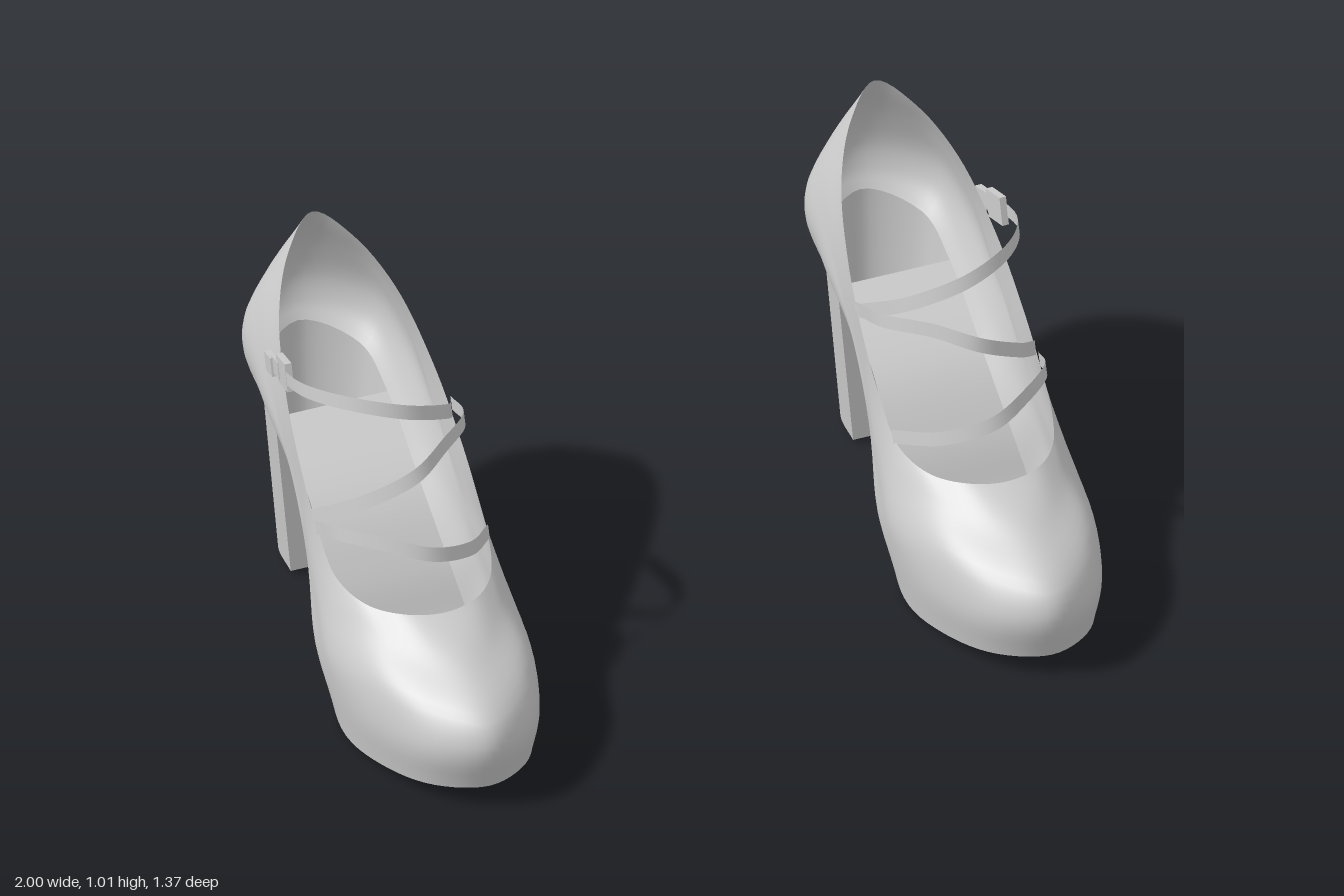
import * as THREE from 'three';

const V = (p) => new THREE.Vector3(...p);
const N = 108, HEEL = 42; // samples round the shoe, and the sample where the heel starts
const mat = new THREE.MeshStandardMaterial({ color: 0xcccccc, side: THREE.DoubleSide });

// Half outlines [x, y, z], from the toe centre along the side to the heel centre
const levels = [
  // sole edge
  [[0, .06, .655], [.12, .05, .59], [.2, .025, .43], [.225, 0, .22], [.2, .06, .07],
   [.165, .23, -.04], [.145, .38, -.18], [.15, .5, -.42], [.13, .56, -.56], [0, .605, -.645]],
  // platform top
  [[0, .18, .685], [.13, .17, .61], [.215, .15, .44], [.245, .13, .22], [.235, .16, .07],
   [.205, .3, -.04], [.18, .45, -.19], [.18, .56, -.42], [.165, .62, -.58], [0, .65, -.668]],
  // widest line
  [[0, .25, .655], [.115, .255, .57], [.2, .26, .42], [.25, .22, .2], [.232, .27, .06],
   [.212, .38, -.06], [.2, .52, -.2], [.2, .64, -.42], [.165, .7, -.59], [0, .72, -.68]],
  // instep and heel counter
  [[0, .325, .5], [.075, .325, .46], [.165, .33, .33], [.225, .33, .16], [.225, .38, .03],
   [.208, .48, -.1], [.2, .6, -.25], [.185, .74, -.42], [.13, .82, -.56], [0, .84, -.65]],
  // rim of the opening
  [[0, .385, .35], [.09, .385, .325], [.165, .378, .24], [.205, .4, .13], [.212, .475, .03],
   [.21, .58, -.09], [.195, .71, -.23], [.155, .85, -.38], [.085, .95, -.49], [0, 1.005, -.55]],
];

// Mirror a half outline into a closed ring and sample it
function ring(half) {
  const mirrored = half.slice(1, -1).reverse().map(([x, y, z]) => [-x, y, z]);
  const curve = new THREE.CatmullRomCurve3([...half, ...mirrored].map(V), true);
  return Array.from({ length: N }, (_, i) => curve.getPoint(i / N));
}

// Surface through a grid of points; wrap joins the last row to the first
function surface(name, rows, cols, point, wrap = false) {
  const pos = [], index = [];
  for (let i = 0; i < rows; i++)
    for (let j = 0; j < cols; j++) pos.push(...point(i, j).toArray());
  for (let i = 0; i < (wrap ? rows : rows - 1); i++)
    for (let j = 0; j < cols - 1; j++) {
      const a = i * cols + j, b = ((i + 1) % rows) * cols + j;
      index.push(a, b, a + 1, b, b + 1, a + 1);
    }
  const geo = new THREE.BufferGeometry();
  geo.setAttribute('position', new THREE.Float32BufferAttribute(pos, 3));
  geo.setIndex(index);
  geo.computeVertexNormals();
  const mesh = new THREE.Mesh(geo, mat);
  mesh.name = name;
  return mesh;
}

// Flat ribbon along a path
function strap(name, points, s) {
  const curve = new THREE.CatmullRomCurve3(points.map(([x, y, z]) => V([x * s, y, z])));
  return surface(name, 41, 2, (i, j) => {
    const t = curve.getTangent(i / 40);
    const across = V([0, .93, -.36]);
    across.addScaledVector(t, -across.dot(t)).normalize();
    return curve.getPoint(i / 40).addScaledVector(across, j ? .018 : -.018);
  });
}

function buckleBox(name, s, size, y, z) {
  const mesh = new THREE.Mesh(new THREE.BoxGeometry(...size), mat);
  mesh.name = name;
  mesh.position.set(.2 * s, y, z);
  mesh.rotation.set(-.27, s * .08, 0);
  return mesh;
}

// s is +1 for the left shoe, -1 for the right
function shoe(name, s) {
  const g = new THREE.Group();
  g.name = name;
  const rings = levels.map(ring);
  const edge = rings[0];

  // Upper: each column runs from the sole edge to the rim
  const columns = edge.map((_, i) => new THREE.CatmullRomCurve3(rings.map((r) => r[i])));
  g.add(surface('upper', N, 21, (i, j) => columns[i].getPoint(j / 20), true));

  // Sole: strips between the two edges, from the toe to the heel
  const bridge = (pts, i, t) => pts[(N - i) % N].clone().lerp(pts[i], t);
  g.add(surface('sole', HEEL + 1, 9, (i, j) => bridge(edge, i, j / 8)));

  // Heel: hollow tapered block, flat in front and round behind
  const foot = edge.map((p) => V([p.x * .72, .015, -.42 + (p.z + .42) * .87]));
  const heel = new THREE.Group();
  heel.name = 'heel';
  heel.add(
    surface('heelWall', N - 2 * HEEL + 1, 9, (i, j) => foot[HEEL + i].clone().lerp(edge[HEEL + i], j / 8)),
    surface('heelFront', 2, 2, (i, j) => bridge(j ? edge : foot, HEEL, i)),
    surface('heelTip', N / 2 - HEEL + 1, 5, (i, j) => bridge(foot, HEEL + i, j / 4)),
  );
  g.add(heel);

  // Zigzag straps over the instep
  g.add(
    strap('upperStrap', [[.195, .755, -.31], [.21, .785, -.22], [.2, .825, -.08], [.12, .845, .04],
      [0, .82, .085], [-.13, .75, .03], [-.21, .63, -.14]], s),
    strap('middleStrap', [[-.21, .64, -.14], [-.19, .69, 0], [-.1, .705, .1], [0, .675, .16],
      [.12, .6, .12], [.213, .5, 0]], s),
    strap('lowerStrap', [[.215, .48, .02], [.19, .525, .13], [.1, .53, .22], [0, .505, .265],
      [-.12, .46, .22], [-.212, .415, .11]], s),
  );

  // Buckle on the outer side
  const buckle = new THREE.Group();
  buckle.name = 'buckle';
  buckle.add(
    buckleBox('buckleFrame', s, [.018, .075, .08], .785, -.225),
    buckleBox('buckleBar', s, [.014, .045, .06], .768, -.275),
    buckleBox('strapTip', s, [.018, .05, .055], .75, -.317),
  );
  g.add(buckle);

  g.position.x = .75 * s;
  return g;
}

export function createModel() {
  const model = new THREE.Group();
  model.name = 'pairOfShoes';
  model.add(shoe('leftShoe', 1), shoe('rightShoe', -1));
  return model;
}
